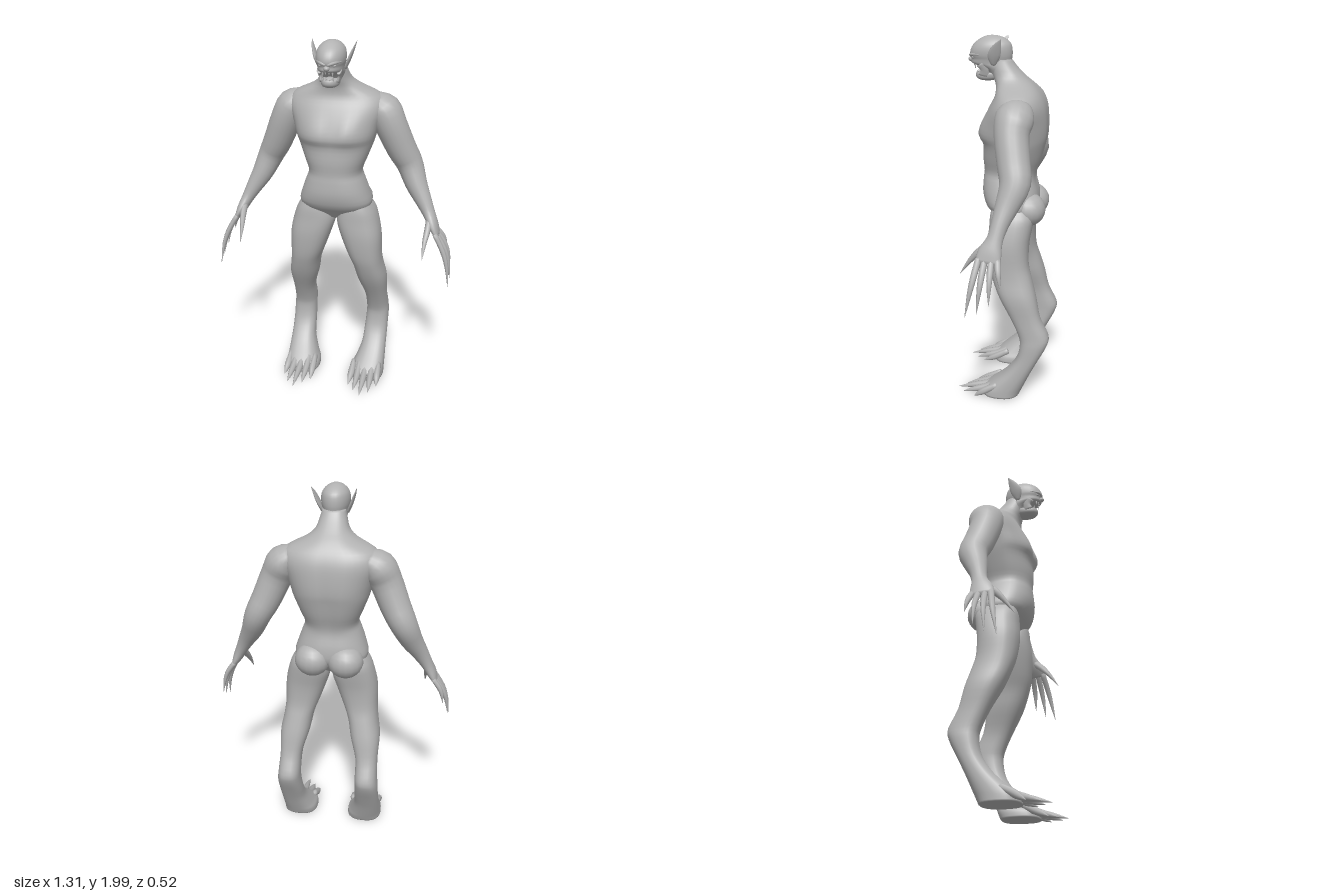
import * as THREE from 'three';

const skin = new THREE.MeshStandardMaterial({ color: 0xb2b2b2 });
skin.name = 'grey skin';

// Catmull-Rom resampling of rows of numbers
function smooth(rows, steps) {
  const out = [];
  const at = (i) => rows[Math.max(0, Math.min(rows.length - 1, i))];
  for (let i = 0; i < rows.length - 1; i++) {
    for (let s = 0; s < steps; s++) {
      const t = s / steps;
      out.push(rows[i].map((b, k) => {
        const a = at(i - 1)[k], c = at(i + 1)[k], d = at(i + 2)[k];
        return b + 0.5 * t * (c - a + t * (2 * a - 5 * b + 4 * c - d + t * (3 * (b - c) + d - a)));
      }));
    }
  }
  out.push(rows[rows.length - 1]);
  return out;
}

// Skin over closed rings of points, capped at both ends and always facing outwards
function loft(name, rings) {
  const n = rings[0].length, pts = rings.flat(), idx = [];
  for (let r = 0; r < rings.length - 1; r++) {
    for (let i = 0; i < n; i++) {
      const a = r * n + i, b = r * n + (i + 1) % n;
      idx.push(a, b, a + n, b, b + n, a + n);
    }
  }
  [0, rings.length - 1].forEach((r) => {
    const c = pts.length;
    pts.push(rings[r].reduce((s, p) => s.add(p), new THREE.Vector3()).divideScalar(n));
    for (let i = 0; i < n; i++) {
      const a = r * n + i, b = r * n + (i + 1) % n;
      if (r === 0) idx.push(b, a, c); else idx.push(a, b, c);
    }
  });
  let volume = 0;
  const cross = new THREE.Vector3();
  for (let i = 0; i < idx.length; i += 3) {
    volume += pts[idx[i]].dot(cross.crossVectors(pts[idx[i + 1]], pts[idx[i + 2]]));
  }
  if (volume < 0) idx.reverse();
  const geo = new THREE.BufferGeometry().setFromPoints(pts);
  geo.setIndex(idx);
  geo.computeVertexNormals();
  const mesh = new THREE.Mesh(geo, skin);
  mesh.name = name;
  return mesh;
}

const power = (v, p) => Math.sign(v) * Math.pow(Math.abs(v), p);

// Horizontal sections: [y, x from, x to, z front, z back]
function stack(name, rows, { n = 28, p = 0.85, steps = 3, mirror = 1, tweak } = {}) {
  return loft(name, smooth(rows, steps).map(([y, x0, x1, zf, zb]) =>
    Array.from({ length: n }, (_, i) => {
      const a = (i / n) * Math.PI * 2;
      const v = new THREE.Vector3(
        mirror * ((x0 + x1) / 2 + (x1 - x0) / 2 * power(Math.cos(a), p)), y,
        (zf + zb) / 2 + (zf - zb) / 2 * power(Math.sin(a), p));
      if (tweak) tweak(v, Math.sin(a));
      return v;
    })));
}

// Sections across a path: [x, y, z, radius, radius along the "wide" axis]
function limb(name, rows, { n = 14, steps = 3, mirror = 1, wide = [0, 0, 1] } = {}) {
  const secs = smooth(rows, steps);
  const pos = secs.map((s) => new THREE.Vector3(s[0] * mirror, s[1], s[2]));
  return loft(name, secs.map((s, k) => {
    const t = pos[Math.min(k + 1, pos.length - 1)].clone().sub(pos[Math.max(k - 1, 0)]).normalize();
    const b = new THREE.Vector3(...wide);
    b.addScaledVector(t, -b.dot(t)).normalize();
    const a = new THREE.Vector3().crossVectors(b, t);
    return Array.from({ length: n }, (_, i) => {
      const q = (i / n) * Math.PI * 2;
      return pos[k].clone().addScaledVector(a, s[3] * Math.cos(q)).addScaledVector(b, s[4] * Math.sin(q));
    });
  }));
}

function ball(name, x, y, z, rx, ry, rz) {
  const mesh = new THREE.Mesh(new THREE.SphereGeometry(1, 18, 12), skin);
  mesh.name = name;
  mesh.position.set(x, y, z);
  mesh.scale.set(rx, ry, rz);
  return mesh;
}

const even = (rows) => rows.map(([y, w, zf, zb]) => [y, -w, w, zf, zb]);
const bump = (v, c, r) => Math.exp(-(((v - c) / r) ** 2));

function makeTorso() {
  const rows = even([
    [1.01, 0.07, 0.02, -0.1], [1.05, 0.15, 0.06, -0.14], [1.1, 0.2, 0.11, -0.175],
    [1.17, 0.185, 0.132, -0.175], [1.24, 0.16, 0.13, -0.16], [1.29, 0.145, 0.125, -0.165],
    [1.36, 0.17, 0.13, -0.19], [1.44, 0.2, 0.127, -0.21], [1.49, 0.215, 0.145, -0.22],
    [1.56, 0.235, 0.125, -0.22], [1.64, 0.26, 0.09, -0.21], [1.7, 0.235, 0.06, -0.185],
    [1.75, 0.135, 0.06, -0.145], [1.79, 0.088, 0.075, -0.1], [1.84, 0.07, 0.09, -0.05],
    [1.88, 0.06, 0.09, -0.02]]);
  // Breast muscles, breastbone crease and spine groove
  return stack('torso', rows, {
    n: 40,
    tweak: (v, s) => {
      const chest = bump(v.y, 1.53, 0.07);
      if (s > 0) v.z += s * chest * (0.012 * bump(Math.abs(v.x), 0.1, 0.06) - 0.006 * bump(v.x, 0, 0.03));
      else v.z -= s * 0.014 * bump(v.x, 0, 0.035) * bump(v.y, 1.42, 0.22);
    },
  });
}

function makeHead() {
  const head = new THREE.Group();
  head.name = 'head';
  head.add(stack('skull', even([
    [1.79, 0.05, 0.09, -0.01], [1.825, 0.062, 0.115, -0.02], [1.848, 0.066, 0.165, -0.02],
    [1.86, 0.066, 0.192, -0.02], [1.88, 0.069, 0.192, -0.022], [1.9, 0.074, 0.2, -0.025],
    [1.93, 0.075, 0.195, -0.024], [1.96, 0.067, 0.175, -0.015], [1.985, 0.045, 0.14, 0.015],
    [1.997, 0.02, 0.11, 0.05], [2, 0.003, 0.085, 0.075]]), { p: 0.95 }));
  head.add(stack('lowerJaw', even([
    [1.768, 0.02, 0.14, 0.08], [1.776, 0.04, 0.16, 0.05], [1.79, 0.047, 0.17, 0.03],
    [1.808, 0.047, 0.168, 0.02], [1.812, 0.035, 0.155, 0.03]]), { p: 0.9 }));
  head.add(ball('nose', 0, 1.876, 0.192, 0.016, 0.014, 0.018));
  head.add(ball('tongue', 0, 1.812, 0.125, 0.022, 0.009, 0.03));
  for (const m of [1, -1]) {
    head.add(limb('brow', [[0.006, 1.893, 0.197, 0.006, 0.006], [0.035, 1.903, 0.186, 0.009, 0.009],
      [0.064, 1.905, 0.142, 0.004, 0.005]], { mirror: m, n: 8 }));
    head.add(ball('eye', m * 0.034, 1.889, 0.176, 0.012, 0.007, 0.01));
    // Cheek joining the upper and lower jaw at the mouth corner
    head.add(limb('cheek', [[0.05, 1.86, 0.13, 0.014, 0.03], [0.05, 1.83, 0.115, 0.008, 0.022],
      [0.041, 1.795, 0.12, 0.008, 0.03]], { mirror: m, n: 10 }));
    head.add(limb('ear', [[0.066, 1.855, 0.065, 0.008, 0.012], [0.085, 1.9, 0.06, 0.009, 0.034],
      [0.102, 1.945, 0.042, 0.006, 0.026], [0.117, 1.988, 0.018, 0.001, 0.002]], { mirror: m, n: 10 }));
    for (const [x, z, h] of [[0.009, 0.176, 0.014], [0.025, 0.168, 0.026]]) {
      head.add(limb('upperTooth', [[x, 1.856, z, 0.006, 0.006], [x, 1.856 - h, z, 0.001, 0.001]],
        { mirror: m, n: 6, steps: 1 }));
      head.add(limb('lowerTooth', [[x, 1.805, z - 0.014, 0.005, 0.005], [x, 1.806 + h * 0.8, z - 0.014, 0.001, 0.001]],
        { mirror: m, n: 6, steps: 1 }));
    }
  }
  return head;
}

function makeArm(m) {
  const arm = new THREE.Group();
  arm.name = m > 0 ? 'leftArm' : 'rightArm';
  arm.add(limb('armAndPalm', [
    [0.18, 1.665, -0.085, 0.05, 0.07], [0.245, 1.62, -0.075, 0.088, 0.1], [0.288, 1.54, -0.065, 0.086, 0.09],
    [0.345, 1.41, -0.085, 0.08, 0.085], [0.392, 1.32, -0.1, 0.072, 0.08], [0.435, 1.22, -0.068, 0.06, 0.062],
    [0.48, 1.14, -0.04, 0.046, 0.046], [0.518, 1.07, -0.02, 0.034, 0.042], [0.548, 1.01, 0, 0.027, 0.06],
    [0.572, 0.96, 0.008, 0.014, 0.062]], { mirror: m, n: 20 }));
  // Clawed fingers: knuckle z, tip x, tip y, tip z
  for (const [kz, x, y, z] of [[0.054, 0.652, 0.7, 0.11], [0.023, 0.656, 0.725, 0.05],
    [-0.01, 0.65, 0.77, -0.01], [-0.041, 0.622, 0.85, -0.062]]) {
    const drop = 0.98 - y, reach = x - 0.562;
    arm.add(limb('finger', [
      [0.562, 0.98, kz, 0.014, 0.017],
      [0.562 + reach * 0.55, 0.98 - drop * 0.32, kz + (z - kz) * 0.35, 0.014, 0.016],
      [0.562 + reach * 0.85, 0.98 - drop * 0.62, kz + (z - kz) * 0.65, 0.01, 0.011],
      [x, y, z, 0.001, 0.001]], { mirror: m, n: 8 }));
  }
  arm.add(limb('thumb', [[0.525, 1.05, 0, 0.018, 0.022], [0.522, 1.0, 0.06, 0.017, 0.02],
    [0.514, 0.945, 0.11, 0.012, 0.012], [0.51, 0.87, 0.162, 0.001, 0.001]], { mirror: m, n: 8 }));
  return arm;
}

function makeLeg(m) {
  const leg = new THREE.Group();
  leg.name = m > 0 ? 'leftLeg' : 'rightLeg';
  leg.add(stack('legAndFoot', [
    [1.13, 0.05, 0.17, 0.06, -0.12], [1.07, 0.02, 0.215, 0.075, -0.16], [1, 0.005, 0.24, 0.08, -0.155],
    [0.91, 0.03, 0.257, 0.085, -0.14], [0.8, 0.07, 0.26, 0.075, -0.14], [0.72, 0.1, 0.267, 0.055, -0.16],
    [0.62, 0.12, 0.284, 0.015, -0.188], [0.5, 0.155, 0.28, -0.05, -0.215], [0.4, 0.16, 0.284, -0.095, -0.263],
    [0.34, 0.16, 0.29, -0.105, -0.255], [0.25, 0.155, 0.29, -0.085, -0.21], [0.16, 0.148, 0.291, -0.02, -0.165],
    [0.08, 0.118, 0.294, 0.07, -0.13], [0.045, 0.1, 0.295, 0.105, -0.115], [0.012, 0.097, 0.295, 0.11, -0.1]],
  { mirror: m, p: 0.8 }));
  leg.add(ball('buttock', m * 0.09, 1.09, -0.125, 0.098, 0.092, 0.095));
  // Clawed toes: base x, tip x, tip z
  for (const [bx, x, z] of [[0.12, 0.115, 0.17], [0.157, 0.155, 0.215], [0.196, 0.198, 0.258],
    [0.235, 0.242, 0.22], [0.272, 0.278, 0.15]]) {
    leg.add(limb('toe', [
      [bx, 0.085, 0.02, 0.018, 0.014], [bx, 0.05, 0.085, 0.021, 0.02],
      [(bx + x) / 2, 0.03, 0.085 + (z - 0.085) * 0.5, 0.016, 0.015],
      [x, 0.011, z, 0.001, 0.001]], { mirror: m, n: 8, wide: [1, 0, 0] }));
  }
  return leg;
}

export function createModel() {
  const model = new THREE.Group();
  model.name = 'creature';
  model.add(makeTorso(), makeHead());
  for (const m of [1, -1]) model.add(makeArm(m), makeLeg(m));
  return model;
}
